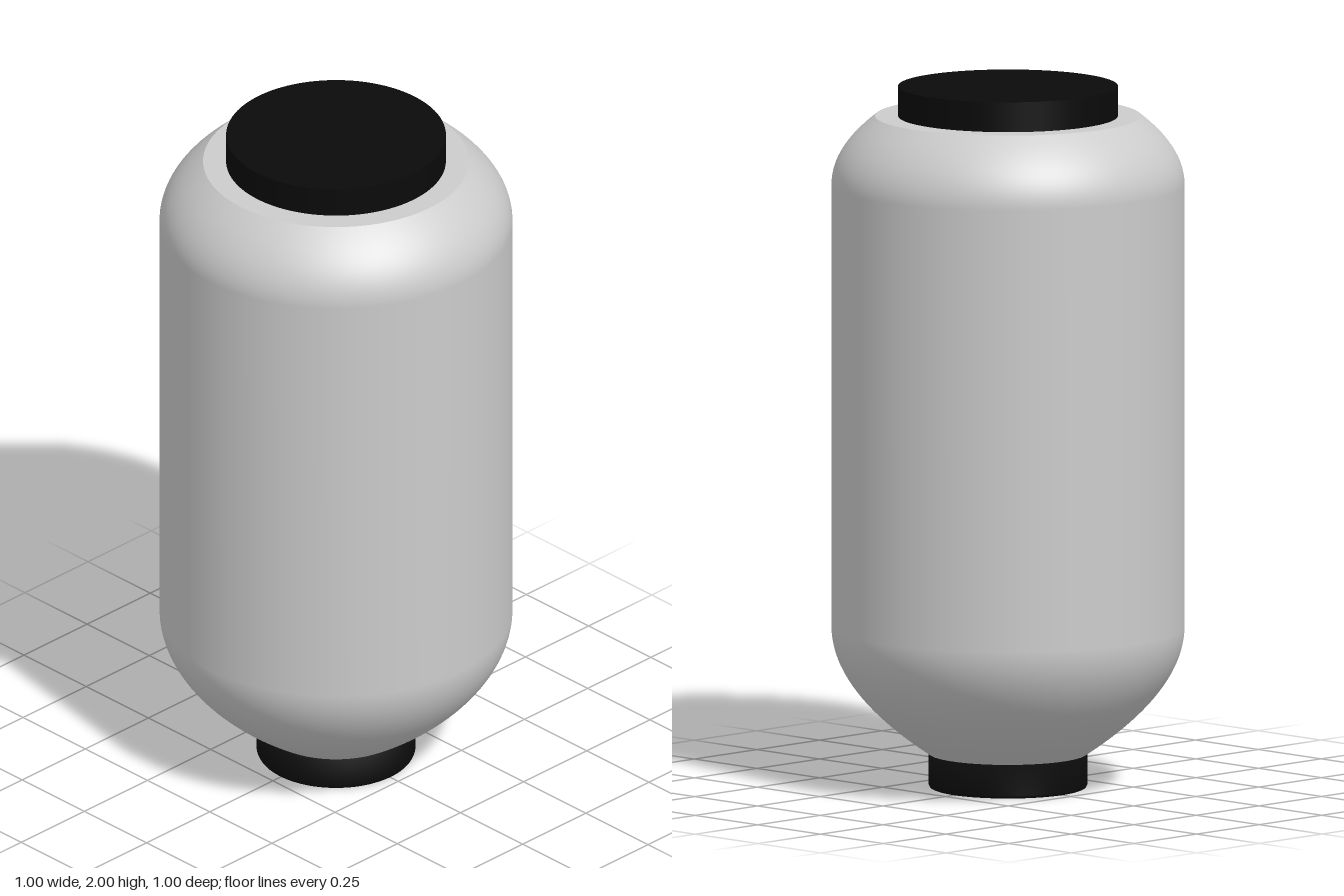
import * as THREE from 'three';

const SEGMENTS = 96;
const v = (x, y) => new THREE.Vector2(x, y);

export function createModel() {
  const model = new THREE.Group();
  model.name = 'paperLantern';
  const shade = new THREE.MeshStandardMaterial({ color: 0xcccccc });
  const black = new THREE.MeshStandardMaterial({ color: 0x0a0a0a });

  const add = (name, geometry, material, y = 0) => {
    const mesh = new THREE.Mesh(geometry, material);
    mesh.name = name;
    mesh.position.y = y;
    model.add(mesh);
    return mesh;
  };

  // Body: bowl-shaped base, straight wall and rounded shoulder, bottom to top
  const base = new THREE.QuadraticBezierCurve(v(0.22, 0.095), v(0.498, 0.28), v(0.498, 0.46));
  const shoulder = new THREE.QuadraticBezierCurve(v(0.498, 1.72), v(0.498, 1.82), v(0.375, 1.915));
  const profile = [...base.getPoints(20), ...shoulder.getPoints(16)];
  add('body', new THREE.LatheGeometry(profile, SEGMENTS), shade);

  // Flat rim on top of the body, with its own sharp edge
  const rim = add('topRim', new THREE.CircleGeometry(0.375, SEGMENTS), shade, 1.915);
  rim.rotation.x = -Math.PI / 2;

  // Top cap
  add('topCap', new THREE.CylinderGeometry(0.31, 0.31, 0.09, SEGMENTS), black, 1.955);

  // Bottom cap with a slightly softened lower edge
  const foot = [v(0, 0), v(0.215, 0), v(0.221, 0.003), v(0.224, 0.01), v(0.224, 0.097), v(0, 0.097)];
  add('bottomCap', new THREE.LatheGeometry(foot, SEGMENTS), black);

  return model;
}
